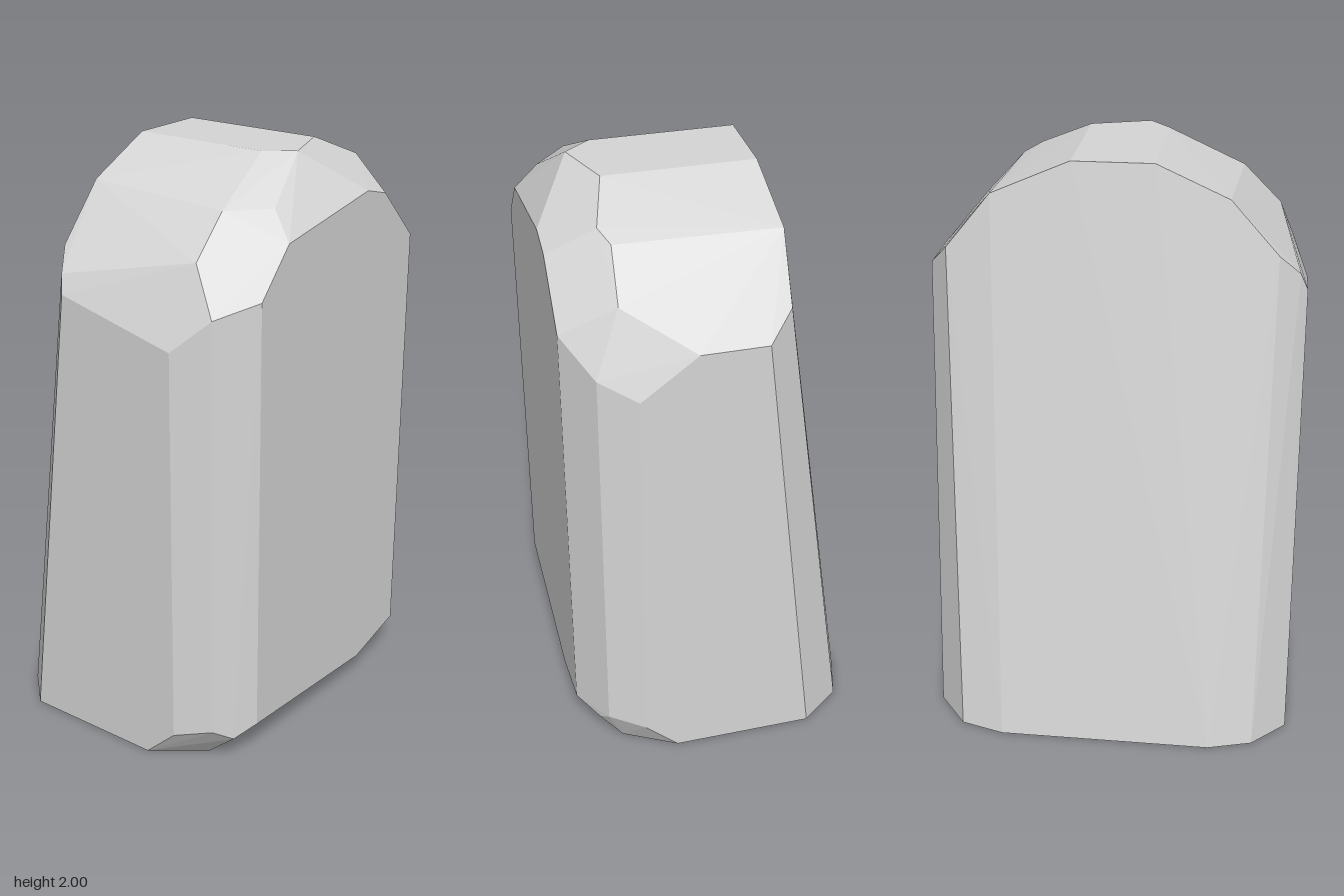
import * as THREE from 'three';
import { ConvexGeometry } from 'three/addons/geometries/ConvexGeometry.js';

export function createModel() {
  const group = new THREE.Group();
  group.name = 'standingStone';
  const stone = new THREE.MeshStandardMaterial({ color: 0xd6d6d6, flatShading: true });
  stone.name = 'pale stone grey';

  // Footprint on the ground: full on the sloping left, cut back on the right
  const base = [
    [-0.33, 0, 0.625], [-0.45, 0, 0.51], [-0.495, 0, 0.36],
    [-0.495, 0, -0.37], [-0.45, 0, -0.52], [-0.31, 0, -0.625],
    [0.17, 0, -0.625], [0.35, 0, -0.53], [0.4, 0, -0.2],
    [0.34, 0, 0.5], [0.17, 0, 0.625],
  ];
  // Upper edge of the chipped bevel along the right foot
  const foot = [
    [0.285, 0.11, 0.625], [0.405, 0.14, 0.57], [0.45, 0.1, 0.51],
    [0.495, 0.14, 0.44], [0.495, 0.085, -0.2], [0.495, 0.14, -0.44],
    [0.43, 0.11, -0.53], [0.405, 0.14, -0.57], [0.285, 0.11, -0.625],
  ];
  // Top of the upright faces, going round from front left to back left
  const shoulder = [
    [-0.14, 1.58, 0.625], [0.285, 1.48, 0.625], [0.405, 1.59, 0.57],
    [0.495, 1.63, 0.44], [0.495, 1.78, 0.3], [0.495, 1.85, -0.15],
    [0.495, 1.82, -0.26], [0.495, 1.64, -0.44], [0.405, 1.54, -0.57],
    [0.285, 1.48, -0.625], [0.1, 1.62, -0.625], [-0.12, 1.62, -0.625],
  ];
  // Arched crown, with its left ridge and its chipped right side
  const crown = [
    [-0.16, 1.64, 0.6], [-0.205, 1.71, 0.53], [-0.205, 1.89, 0.37], [-0.21, 2, 0.13],
    [-0.21, 2, -0.14], [-0.22, 1.89, -0.4], [-0.205, 1.7, -0.555],
    [0.31, 1.74, 0.52], [0.31, 1.87, 0.39], [0.42, 1.87, 0.27],
    [0.27, 2, 0.13], [0.36, 2, 0.06], [0.29, 2, -0.14],
    [0.34, 1.92, -0.32], [0.31, 1.89, -0.38], [0.32, 1.75, -0.51],
  ];

  const corners = [...base, ...foot, ...shoulder, ...crown].map((p) => new THREE.Vector3(...p));
  const boulder = new THREE.Mesh(new ConvexGeometry(corners), stone);
  boulder.name = 'boulder';
  group.add(boulder);
  return group;
}
